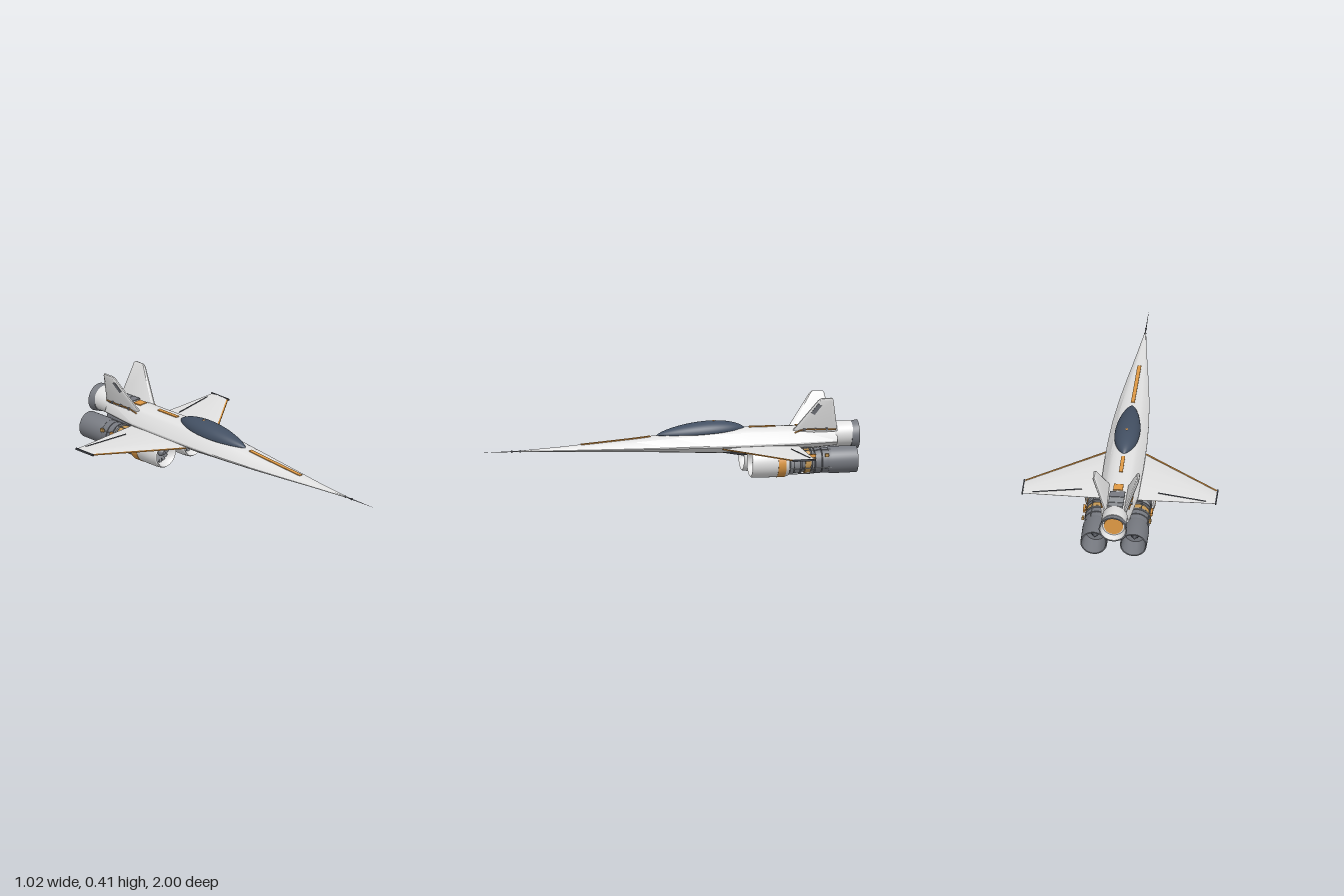
import * as THREE from 'three';
import { toCreasedNormals } from 'three/addons/utils/BufferGeometryUtils.js';

const paint = (name, color) => Object.assign(new THREE.MeshStandardMaterial({ color }), { name });
const M = {
  hull: paint('hull light grey', 0xe2e2e2),
  steel: paint('steel grey', 0x92959a),
  nozzle: paint('nozzle grey', 0x777a81),
  dark: paint('dark grey', 0x45484f),
  orange: paint('orange', 0xe09a45),
  brass: paint('brass', 0xc79a55),
  glass: paint('canopy slate', 0x435063),
};
const V = (x, y, z) => new THREE.Vector3(x, y, z);

function add(parent, name, geo, mat, x = 0, y = 0, z = 0) {
  const m = new THREE.Mesh(geo, mat);
  m.name = name;
  m.position.set(x, y, z);
  parent.add(m);
  return m;
}

// Closed skin through rings of equal length, with fan caps, facing outwards
function loft(rings, crease = 0.5) {
  const n = rings[0].length, tris = [];
  for (let i = 0; i < rings.length - 1; i++)
    for (let j = 0; j < n; j++) {
      const k = (j + 1) % n, a = rings[i], b = rings[i + 1];
      tris.push([a[j], a[k], b[k]], [a[j], b[k], b[j]]);
    }
  const end = rings[rings.length - 1];
  for (let j = 1; j < n - 1; j++)
    tris.push([rings[0][0], rings[0][j + 1], rings[0][j]], [end[0], end[j], end[j + 1]]);
  const volume = tris.reduce((s, [a, b, c]) => s + a.dot(b.clone().cross(c)), 0);
  const pos = [];
  for (const t of tris) for (const p of volume < 0 ? [t[0], t[2], t[1]] : t) pos.push(p.x, p.y, p.z);
  const g = new THREE.BufferGeometry();
  g.setAttribute('position', new THREE.Float32BufferAttribute(pos, 3));
  return toCreasedNormals(g, crease);
}

// Box running from p to q
function bar(parent, name, p, q, w, h, mat, up = V(0, 1, 0)) {
  const mid = p.clone().add(q).multiplyScalar(0.5);
  const m = add(parent, name, new THREE.BoxGeometry(w, h, p.distanceTo(q)), mat, mid.x, mid.y, mid.z);
  m.up.copy(up);
  m.lookAt(q);
}

// Turned part along the z axis; points are [radius, distance behind z = 0]
function turned(parent, name, pts, mat, x = 0, y = 0, seg = 36) {
  const g = new THREE.LatheGeometry(pts.map(([r, d]) => new THREE.Vector2(r, d)), seg);
  add(parent, name, toCreasedNormals(g.rotateX(-Math.PI / 2), 0.6), mat, x, y, 0);
}
const drum = (r, a, b) => [[0, a], [r, a], [r, b], [0, b]];

// Fuselage stations: z, half width, height above and below the chine
const STATIONS = [
  [0.82, 0.003, 0.003, 0.003], [0.6, 0.029, 0.014, 0.010], [0.4, 0.055, 0.028, 0.018],
  [0.2, 0.079, 0.043, 0.025], [0.0, 0.096, 0.062, 0.033], [-0.2, 0.104, 0.077, 0.045],
  [-0.4, 0.105, 0.083, 0.049], [-0.66, 0.101, 0.081, 0.045], [-0.88, 0.072, 0.076, 0.03],
];
const CHINE = 0.17;
function topY(z) {
  const i = Math.max(1, STATIONS.findIndex((s) => s[0] <= z));
  const a = STATIONS[i - 1], b = STATIONS[i];
  return CHINE + THREE.MathUtils.mapLinear(z, a[0], b[0], a[2], b[2]);
}

function fuselage(g) {
  const half = [[0.3, 0.97], [0.5, 0.89], [0.66, 0.77], [1, 0.07], [1, -0.08], [0.88, -0.38], [0.64, -0.73], [0.33, -0.93]];
  const loop = [[0, 1], ...half, [0, -1], ...half.map(([x, y]) => [-x, y]).reverse()];
  const rings = STATIONS.map(([z, w, t, b]) => loop.map(([x, y]) => V(x * w, CHINE + y * (y > 0 ? t : b), z)));
  add(g, 'fuselage', loft(rings), M.hull);

  // Spine stripes follow the top line
  for (const [z0, z1, w] of [[0.48, 0.11, 0.02], [-0.42, -0.56, 0.02], [-0.67, -0.72, 0.05]])
    for (let i = 0; i < 4; i++) {
      const at = (k) => { const z = z0 + ((z1 - z0) * k) / 4; return V(0, topY(z) + 0.001, z); };
      bar(g, 'spineStripe', at(i), at(i + 1), w, 0.006, M.orange);
    }
  // Low grey panels between the fins
  for (let i = 0; i < 3; i++) {
    const z = -0.735 - i * 0.05;
    bar(g, 'spinePanel', V(0, topY(z), z), V(0, topY(z - 0.046), z - 0.046), 0.08, 0.008, i ? M.steel : M.nozzle);
  }

  // Nose probe and its beads
  turned(g, 'noseProbe', [[0, -1], [0.0006, -1], [0.0035, -0.78], [0, -0.78]], M.nozzle, 0, CHINE, 10);
  for (const z of [0.805, 0.85]) add(g, 'probeBead', new THREE.SphereGeometry(0.006, 12, 8), M.dark, 0, CHINE, z);

  // Canopy: lens with pointed ends, its peak aft and its lower half sunk in the hull
  const c = new THREE.SphereGeometry(1, 40, 28).rotateX(Math.PI / 2);
  const p = c.attributes.position;
  for (let i = 0; i < p.count; i++) {
    const z = p.getZ(i), y = p.getY(i), pinch = Math.pow(Math.max(0, 1 - z * z), 0.22);
    p.setXYZ(i, p.getX(i) * 0.066 * pinch, y * (y > 0 ? 0.054 : 0.02) * pinch - z * 0.012, z * 0.235 - 0.03 * (1 - z * z));
  }
  c.computeVertexNormals();
  add(g, 'canopy', c, M.glass, 0, 0.239, -0.16);
  add(g, 'canopyStud', new THREE.SphereGeometry(0.01, 14, 10), M.orange, 0, 0.287, -0.23);

  // Belly fairing
  const scoop = (z, w, y) => [[-1, 0], [1, 0], [0.8, 0.6], [0.35, 1], [-0.35, 1], [-0.8, 0.6]]
    .map(([x, t]) => V(x * w, 0.13 + (y - 0.13) * t, z));
  add(g, 'bellyFairing', loft([scoop(-0.27, 0.01, 0.123), scoop(-0.38, 0.021, 0.104), scoop(-0.5, 0.021, 0.106)]), M.dark);

  // Central tail nozzle: hollow collar, flared rim and glowing core
  turned(g, 'tailCollar', [[0, 0.87], [0.058, 0.87], [0.067, 0.89], [0.067, 0.965], [0.05, 0.965]], M.hull, 0, 0.2);
  turned(g, 'tailNozzle', [[0.06, 0.96], [0.068, 0.96], [0.075, 1], [0.068, 1]], M.nozzle, 0, 0.195);
  turned(g, 'tailNozzleLining', [[0.068, 1], [0.056, 0.958], [0.044, 0.958]], M.hull, 0, 0.195);
  turned(g, 'tailNozzleGlow', drum(0.05, 0.95, 0.968), M.orange, 0, 0.195);
}

function wing(g, s) {
  const foil = (x, lead, trail, h) => [[0, 0], [0.25, 1], [0.7, 1], [1, 0.1], [1, -0.1], [0.7, -1], [0.25, -1]]
    .map(([t, y]) => V(s * x, 0.156 + y * h, lead + (trail - lead) * t));
  add(g, 'wing', loft([foil(0.05, -0.217, -0.67, 0.01), foil(0.505, -0.548, -0.664, 0.004)], 0.3), M.hull);
  bar(g, 'wingLeadingEdge', V(s * 0.105, 0.158, -0.258), V(s * 0.503, 0.156, -0.548), 0.008, 0.006, M.orange);
  bar(g, 'wingTipRail', V(s * 0.508, 0.156, -0.542), V(s * 0.508, 0.156, -0.668), 0.007, 0.01, M.dark);
  bar(g, 'flapLine', V(s * 0.2, 0.1625, -0.604), V(s * 0.455, 0.158, -0.648), 0.005, 0.004, M.dark);
}

function tailFin(g, s) {
  const at = (y, z, off = 0) => V(s * (0.057 + (y - 0.235) * 0.343 + off), y - off * 0.343, z);
  const ring = (y, lead, trail, h) => [[0, 0.4], [0.08, 1], [0.9, 1], [1, 0.4], [1, -0.4], [0.9, -1], [0.08, -1], [0, -0.4]]
    .map(([t, o]) => at(y, lead + (trail - lead) * t, o * h));
  add(g, 'tailFin', loft([ring(0.225, -0.635, -0.882, 0.009), ring(0.4, -0.768, -0.848, 0.008), ring(0.41, -0.782, -0.842, 0.004)]), M.hull);
  // Thin panel on the outer face
  bar(g, 'finPanel', at(0.33, -0.742, 0.0085), at(0.38, -0.776, 0.0085), 0.024, 0.003, M.nozzle, V(s, -0.343, 0));

  // Pipe along the fin root with clamps
  const path = new THREE.CatmullRomCurve3([V(s * 0.072, 0.225, -0.65), V(s * 0.08, 0.24, -0.69), V(s * 0.08, 0.24, -0.8), V(s * 0.07, 0.235, -0.87)]);
  add(g, 'finRootPipe', new THREE.TubeGeometry(path, 16, 0.0035, 8), M.orange);
  for (const z of [-0.7, -0.76, -0.82]) add(g, 'pipeClamp', new THREE.BoxGeometry(0.01, 0.012, 0.01), M.nozzle, s * 0.08, 0.24, z);
}

function engine(g, s) {
  const e = new THREE.Group();
  e.name = 'engine';
  e.position.set(s * 0.104, 0.081, 0);
  g.add(e);

  // Intake cowl and fan
  turned(e, 'intakeCowl', [[0.06, 0.6], [0.06, 0.435], [0.065, 0.412], [0.072, 0.402], [0.077, 0.408], [0.08, 0.44], [0.08, 0.585], [0.074, 0.602], [0.05, 0.602]], M.hull, 0, 0, 40);
  turned(e, 'cowlBand', [[0.079, 0.54], [0.0815, 0.54], [0.0815, 0.582], [0.079, 0.582]], M.orange, 0, 0, 40);
  turned(e, 'fanDisc', drum(0.062, 0.45, 0.46), M.nozzle);
  turned(e, 'fanHub', [[0, 0.415], [0.01, 0.418], [0.018, 0.43], [0.022, 0.452]], M.nozzle, 0, 0, 20);
  for (let i = 0; i < 14; i++) {
    const b = new THREE.BoxGeometry(0.015, 0.044, 0.003).rotateY(0.25).translate(0, 0.039, 0);
    add(e, 'fanBlade', b.rotateZ((i * Math.PI) / 7), M.steel, 0, 0, -0.446);
  }

  // Core drums: radius, start, end, colour
  const core = [[0.057, 0.59, 0.84, M.nozzle], [0.066, 0.608, 0.628, M.steel], [0.062, 0.632, 0.66, M.steel], [0.067, 0.662, 0.67, M.nozzle],
    [0.064, 0.688, 0.718, M.brass], [0.068, 0.725, 0.735, M.steel], [0.067, 0.742, 0.775, M.nozzle], [0.066, 0.78, 0.815, M.nozzle]];
  for (const [r, a, b, m] of core) turned(e, 'coreDrum', drum(r, a, b), m);

  // Lengthwise pipes around the core
  for (let i = 0; i < 8; i++) {
    const a = (i / 8) * Math.PI * 2 + 0.3, x = Math.cos(a) * 0.068, y = Math.sin(a) * 0.068;
    const line = new THREE.LineCurve3(V(x, y, -0.6), V(x, y, i % 2 ? -0.83 : -0.74));
    add(e, 'corePipe', new THREE.TubeGeometry(line, 1, 0.0025, 6), i % 4 ? M.steel : M.orange);
  }
  add(e, 'gearbox', new THREE.BoxGeometry(0.012, 0.016, 0.05), M.orange, s * 0.073, 0.037, -0.715);
  add(e, 'gearboxCap', new THREE.BoxGeometry(0.012, 0.016, 0.02), M.brass, s * 0.072, 0.037, -0.8);

  // Exhaust nozzle, hollow at the rear
  turned(e, 'exhaustNozzle', [[0.05, 0.815], [0.067, 0.815], [0.071, 0.83], [0.07, 0.97], [0.064, 0.97], [0.056, 0.86], [0, 0.86]], M.nozzle);
  turned(e, 'exhaustCone', [[0.025, 0.855], [0.02, 0.88], [0, 0.92]], M.dark, 0, 0, 20);

  // Pylon joining the engine to the wing root
  add(e, 'pylon', new THREE.BoxGeometry(0.03, 0.03, 0.18), M.hull, -s * 0.03, 0.073, -0.52);
}

export function createModel() {
  const g = new THREE.Group();
  g.name = 'jetAircraft';
  fuselage(g);
  for (const s of [1, -1]) {
    wing(g, s);
    tailFin(g, s);
    engine(g, s);
  }
  return g;
}
